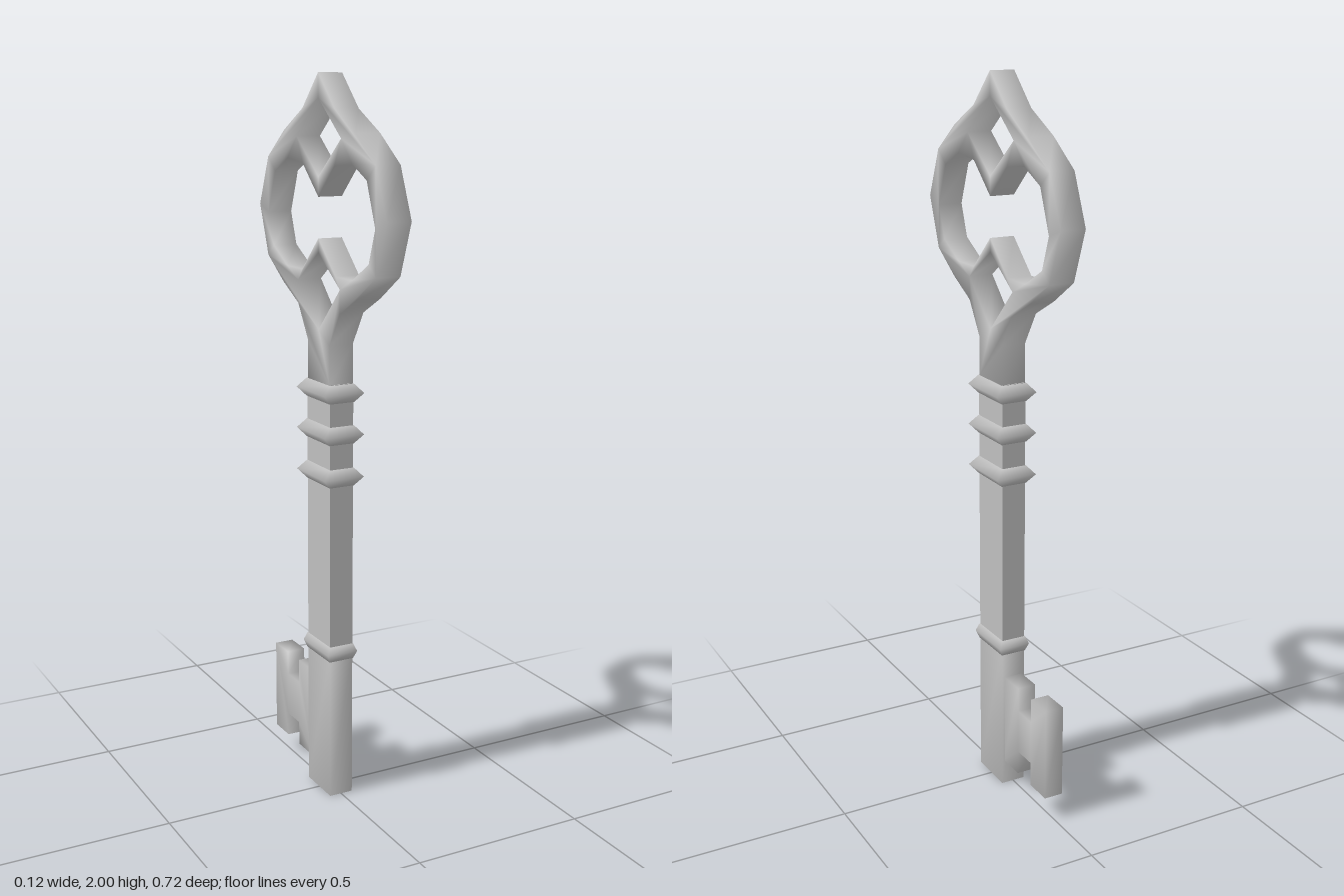
import * as THREE from 'three';
import { mergeVertices } from 'three/addons/utils/BufferGeometryUtils.js';

const metal = new THREE.MeshStandardMaterial({ color: 0xbebebe });
metal.name = 'grey metal';

// Share vertices so the shading runs softly over the edges
function soften(geometry) {
  geometry.deleteAttribute('uv');
  geometry.deleteAttribute('normal');
  const merged = mergeVertices(geometry, 1e-4);
  merged.computeVertexNormals();
  return merged;
}

// Turn a list of [z, y] points for one side into a closed, clockwise, symmetric outline
function mirrored(half) {
  const other = half.filter(([z]) => z > 0).reverse().map(([z, y]) => [-z, y]);
  return [...half, ...other].map(([z, y]) => new THREE.Vector2(z, y));
}

// Plate lying in the z-y plane, centred on x = 0
function plate(shape, thickness) {
  const geometry = new THREE.ExtrudeGeometry(shape, { depth: thickness, bevelEnabled: false });
  geometry.translate(0, 0, -thickness / 2);
  geometry.rotateY(-Math.PI / 2);
  return soften(geometry);
}

// Square collar whose sides swell to a ridge at mid height
function collar(halfX, halfZ, height) {
  const geometry = new THREE.BoxGeometry(0.074, height, 0.136, 1, 2, 1);
  const p = geometry.attributes.position;
  for (let i = 0; i < p.count; i++) {
    if (Math.abs(p.getY(i)) < 0.001) {
      p.setX(i, Math.sign(p.getX(i)) * halfX);
      p.setZ(i, Math.sign(p.getZ(i)) * halfZ);
    }
  }
  return soften(geometry);
}

export function createModel() {
  const key = new THREE.Group();
  key.name = 'key';
  const add = (name, geometry, y = 0) => {
    const mesh = new THREE.Mesh(geometry, metal);
    mesh.name = name;
    mesh.position.y = y;
    key.add(mesh);
  };

  // Shaft: crisp upper length and softer tip
  add('shaft', new THREE.BoxGeometry(0.07, 0.764, 0.134), 0.812);
  add('shaftTip', soften(new THREE.BoxGeometry(0.07, 0.43, 0.134)), 0.215);

  // Collars along the shaft
  for (const y of [1.168, 1.054, 0.936]) add('collar', collar(0.06, 0.083, 0.05), y);
  add('lowerCollar', collar(0.046, 0.075, 0.044), 0.43);

  // Bow: rounded outline with a main opening and two diamonds
  const bow = new THREE.Shape(mirrored([
    [0, 2], [0.09, 1.91], [0.2, 1.852], [0.302, 1.778], [0.358, 1.645],
    [0.307, 1.505], [0.21, 1.44], [0.12, 1.392], [0.063, 1.3], [0.064, 1.19],
  ]));
  // Openings run the other way round, so their walls face inward
  bow.holes = [
    [[0, 1.937], [0.125, 1.837], [0, 1.737]],
    [[0, 1.685], [0.09, 1.768], [0.18, 1.778], [0.258, 1.74], [0.302, 1.625],
      [0.27, 1.535], [0.185, 1.487], [0.095, 1.487], [0, 1.577]],
    [[0, 1.54], [0.12, 1.455], [0, 1.335]],
  ].map((half) => new THREE.Path(mirrored(half).reverse()));
  add('bow', plate(bow, 0.07));

  // Bit: two tall teeth joined by a short bridge
  const bit = new THREE.Shape([
    [-0.06, 0.071], [-0.06, 0.337], [-0.145, 0.337], [-0.145, 0.267], [-0.217, 0.267], [-0.217, 0.337],
    [-0.298, 0.337], [-0.298, 0.071], [-0.217, 0.071], [-0.217, 0.14], [-0.145, 0.14], [-0.145, 0.071],
  ].map(([z, y]) => new THREE.Vector2(z, y)));
  add('bit', plate(bit, 0.054));

  return key;
}
